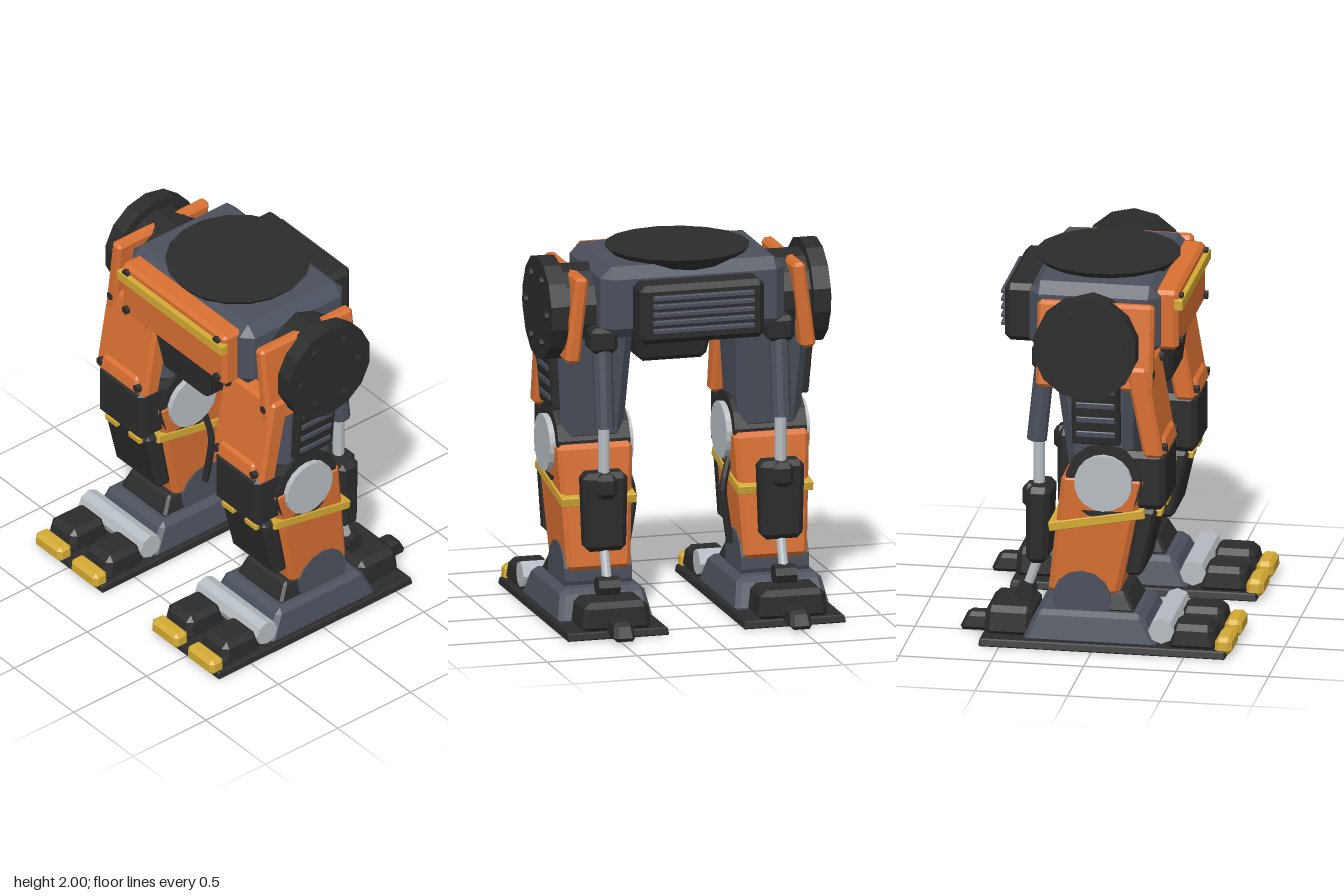
import * as THREE from 'three';
import { ConvexGeometry } from 'three/addons/geometries/ConvexGeometry.js';

function makeMaterial(name, color) {
  const m = new THREE.MeshStandardMaterial({ color });
  m.name = name;
  return m;
}

const orange = makeMaterial('orange armour', 0xd97032);
const yellow = makeMaterial('yellow marking', 0xd4aa34);
const black = makeMaterial('charcoal', 0x2b2b2b);
const slate = makeMaterial('slate frame', 0x4a505c);
const steel = makeMaterial('light steel', 0xb6bdc2);

function add(parent, name, geometry, material) {
  const flat = geometry.index ? geometry.toNonIndexed() : geometry;
  flat.computeVertexNormals();
  const mesh = new THREE.Mesh(flat, material);
  mesh.name = name;
  parent.add(mesh);
  return mesh;
}

// Chamfered block from y0 to y1; bottom and top are [width, back z, front z], x is its centre.
function block(parent, name, material, y0, y1, bottom, top, c = 0.02, x = 0) {
  const points = [];
  const corner = (sx, sy, sz, cx, cy, cz) => {
    const y = sy > 0 ? y1 - cy : y0 + cy;
    const t = (y - y0) / (y1 - y0);
    const [w, back, front] = bottom.map((b, i) => THREE.MathUtils.lerp(b, top[i], t));
    points.push(new THREE.Vector3(x + sx * (w / 2 - cx), y, sz > 0 ? front - cz : back + cz));
  };
  for (const sx of [-1, 1]) for (const sy of [-1, 1]) for (const sz of [-1, 1]) {
    corner(sx, sy, sz, 0, c, c);
    corner(sx, sy, sz, c, 0, c);
    corner(sx, sy, sz, c, c, 0);
  }
  return add(parent, name, new ConvexGeometry(points), material);
}

// Cylinder lying along x, from x0 to x1.
function axle(parent, name, material, x0, x1, y, z, r, sides = 14) {
  const g = new THREE.CylinderGeometry(r, r, Math.abs(x1 - x0), sides, 1, false, Math.PI / 2);
  const m = add(parent, name, g, material);
  m.rotation.z = Math.PI / 2;
  m.position.set((x0 + x1) / 2, y, z);
  return m;
}

// Cylinder between two points in the plane x = 0.
function rod(parent, name, material, ya, za, yb, zb, r, sides = 10) {
  const a = new THREE.Vector3(0, ya, za);
  const b = new THREE.Vector3(0, yb, zb);
  const m = add(parent, name, new THREE.CylinderGeometry(r, r, a.distanceTo(b), sides), material);
  m.position.copy(a).add(b).multiplyScalar(0.5);
  m.quaternion.setFromUnitVectors(new THREE.Vector3(0, 1, 0), b.sub(a).normalize());
}

// Bolt head facing the front.
function frontBolt(parent, x, y, z) {
  const m = add(parent, 'bolt', new THREE.CylinderGeometry(0.024, 0.024, 0.04, 6), black);
  m.rotation.x = Math.PI / 2;
  m.position.set(x, y, z);
}

function buildPelvis() {
  const g = new THREE.Group();
  g.name = 'pelvis';
  block(g, 'pelvisBody', slate, 1.58, 1.97, [1.02, -0.39, 0.32], [1.02, -0.39, 0.32], 0.06);
  const ring = add(g, 'turntable', new THREE.CylinderGeometry(0.39, 0.32, 0.08, 18), black);
  ring.position.set(0, 1.96, -0.04);
  // Front plate
  block(g, 'frontPlate', orange, 1.61, 1.94, [0.87, 0.28, 0.41], [0.87, 0.28, 0.41]);
  block(g, 'frontStripe', yellow, 1.835, 1.895, [0.88, 0.39, 0.437], [0.88, 0.39, 0.437], 0.004);
  for (const x of [-0.38, 0.38]) for (const y of [1.655, 1.9]) frontBolt(g, x, y, 0.412);
  block(g, 'crotchBlock', black, 1.34, 1.62, [0.37, 0.04, 0.33], [0.49, 0, 0.36], 0.025);
  // Rear radiator
  block(g, 'radiator', black, 1.58, 1.9, [0.69, -0.545, -0.3], [0.69, -0.545, -0.3], 0.03);
  for (let i = 0; i < 5; i++) {
    const y = 1.645 + i * 0.045;
    block(g, 'radiatorFin', slate, y, y + 0.024, [0.56, -0.572, -0.53], [0.56, -0.572, -0.53], 0.003);
  }
  return g;
}

// Hip drive, built around x = 0.49 * s
function buildHip(s) {
  const g = new THREE.Group();
  g.name = s > 0 ? 'leftHip' : 'rightHip';
  axle(g, 'hipHub', black, s * 0.42, s * 0.7, 1.7, -0.035, 0.232);
  axle(g, 'hipDisc', black, s * 0.68, s * 0.775, 1.7, -0.035, 0.283);
  for (let i = 0; i < 6; i++) {
    const a = (i * Math.PI) / 3;
    axle(g, 'hipBolt', black, s * 0.76, s * 0.795, 1.7 + 0.197 * Math.sin(a), -0.035 + 0.197 * Math.cos(a), 0.025, 8);
  }
  const guard = block(g, 'hipGuard', orange, -0.235, 0.235, [0.08, -0.315, 0.315], [0.07, -0.315, 0.315], 0.018);
  guard.position.set(s * 0.628, 1.68, 0);
  guard.rotation.z = s * 0.12;
  return g;
}

function buildFoot() {
  const g = new THREE.Group();
  g.name = 'foot';
  block(g, 'sole', black, 0, 0.042, [0.567, -0.612, 0.725], [0.55, -0.605, 0.72], 0.006);
  block(g, 'footBody', slate, 0.03, 0.207, [0.53, -0.385, 0.36], [0.46, -0.305, 0.265], 0.025);
  block(g, 'heelBlock', black, 0.03, 0.192, [0.39, -0.6, -0.34], [0.35, -0.59, -0.34], 0.03);
  block(g, 'heelSpur', black, 0.012, 0.11, [0.125, -0.757, -0.55], [0.1, -0.71, -0.55], 0.02);
  axle(g, 'toeHinge', steel, -0.262, 0.262, 0.135, 0.375, 0.07, 8);
  for (const x of [-0.15, 0.15]) {
    block(g, 'toe', black, 0.03, 0.17, [0.225, 0.4, 0.68], [0.2, 0.43, 0.65], 0.03, x);
    block(g, 'toeCap', yellow, 0.02, 0.112, [0.225, 0.66, 0.757], [0.215, 0.665, 0.755], 0.022, x);
  }
  block(g, 'ankleBase', black, 0.2, 0.31, [0.38, -0.22, 0.225], [0.32, -0.18, 0.165], 0.015);
  axle(g, 'ankleJoint', slate, -0.188, 0.188, 0.265, -0.068, 0.16);
  return g;
}

function buildLeg(s) {
  const g = new THREE.Group();
  g.name = s > 0 ? 'leftLeg' : 'rightLeg';
  g.position.x = s * 0.49;
  g.add(buildFoot());
  // Shin
  block(g, 'shin', orange, 0.29, 0.965, [0.35, -0.255, 0.13], [0.42, -0.175, 0.275], 0.025);
  const band = block(g, 'shinBand', yellow, -0.025, 0.025, [0.415, -0.263, 0.263], [0.415, -0.263, 0.263], 0.004);
  band.position.set(0, 0.717, 0.015);
  band.rotation.x = -0.19;
  block(g, 'shinGuard', black, 0.41, 0.785, [0.37, 0.165, 0.255], [0.375, 0.235, 0.34], 0.02);
  for (const x of [-0.097, 0.097])
    block(g, 'guardMark', yellow, 0.74, 0.775, [0.095, 0.3, 0.357], [0.095, 0.3, 0.36], 0.003, x);
  // Knee
  block(g, 'kneeGuard', black, 0.785, 1.105, [0.375, 0.12, 0.382], [0.375, 0.12, 0.382], 0.03);
  axle(g, 'kneeJoint', black, -0.2, 0.2, 0.935, 0.055, 0.21);
  axle(g, 'kneeCap', steel, -0.232, 0.232, 0.935, 0.055, 0.156, 18);
  // Thigh
  block(g, 'thighCore', slate, 0.96, 1.66, [0.34, -0.14, 0.2], [0.42, -0.23, 0.21], 0.05);
  block(g, 'thighPlate', orange, 1.085, 1.585, [0.42, 0.27, 0.375], [0.42, 0.17, 0.29], 0.018);
  block(g, 'thighLip', orange, 1.095, 1.19, [0.34, 0.28, 0.395], [0.28, 0.28, 0.375], 0.015);
  for (const x of [-0.155, 0.155]) {
    frontBolt(g, x, 1.54, 0.3);
    frontBolt(g, x, 1.135, 0.372);
  }
  // Louvred panel on the outer side
  const vent = new THREE.Group();
  vent.name = 'thighVent';
  block(vent, 'ventPanel', black, -0.18, 0.18, [0.07, -0.13, 0.13], [0.07, -0.13, 0.13], 0.008);
  for (let i = 0; i < 4; i++) {
    const y = -0.135 + i * 0.083;
    block(vent, 'ventSlat', slate, y, y + 0.034, [0.085, -0.105, 0.105], [0.085, -0.105, 0.105], 0.004);
  }
  vent.position.set(s * 0.2, 1.33, 0.015);
  vent.rotation.z = -s * 0.09;
  g.add(vent);
  // Rear piston
  block(g, 'pistonBracket', black, 1.5, 1.64, [0.15, -0.36, -0.2], [0.15, -0.36, -0.2], 0.025);
  rod(g, 'pistonSleeve', slate, 1.6, -0.29, 1.09, -0.342, 0.054);
  rod(g, 'pistonRod', steel, 1.12, -0.33, 0.8, -0.33, 0.031);
  block(g, 'calfBlock', black, 0.42, 0.85, [0.23, -0.385, -0.27], [0.25, -0.385, -0.25], 0.03);
  block(g, 'calfTab', black, 0.71, 0.845, [0.12, -0.415, -0.33], [0.12, -0.415, -0.33], 0.03);
  rod(g, 'ankleRod', steel, 0.45, -0.325, 0.24, -0.4, 0.026);
  axle(g, 'ankleRodEnd', black, -0.06, 0.06, 0.24, -0.4, 0.053, 8);
  // Hose on the inner side
  const hose = new THREE.CatmullRomCurve3([
    new THREE.Vector3(-s * 0.2, 0.81, -0.04),
    new THREE.Vector3(-s * 0.24, 0.65, -0.06),
    new THREE.Vector3(-s * 0.225, 0.5, -0.06),
    new THREE.Vector3(-s * 0.2, 0.34, -0.05),
  ]);
  add(g, 'hose', new THREE.TubeGeometry(hose, 8, 0.02, 6), black);
  return g;
}

export function createModel() {
  const model = new THREE.Group();
  model.name = 'walkerLegs';
  model.add(buildPelvis());
  for (const s of [-1, 1]) model.add(buildHip(s), buildLeg(s));
  return model;
}
